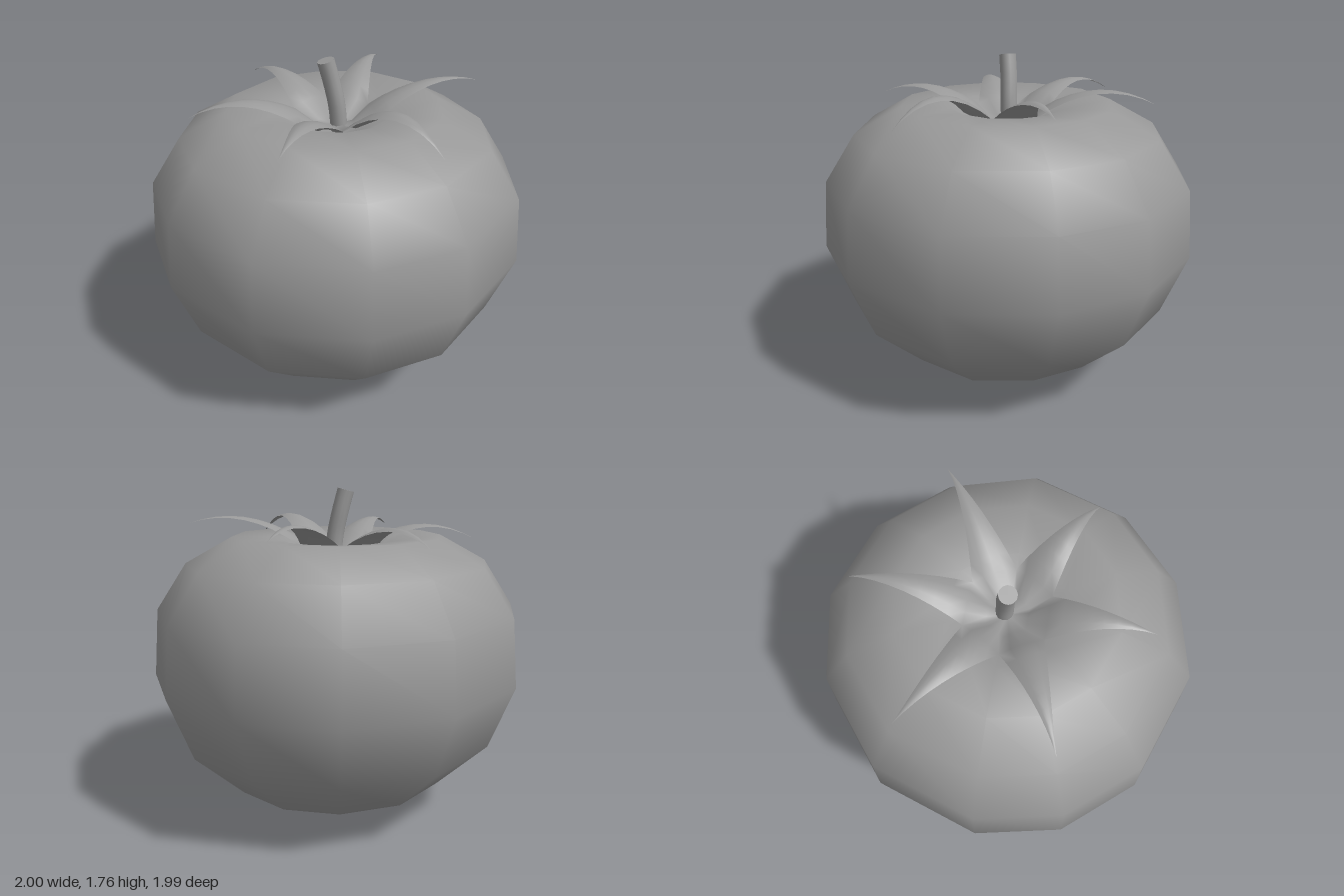
import * as THREE from 'three';
import { mergeVertices } from 'three/addons/utils/BufferGeometryUtils.js';

const grey = (side = THREE.FrontSide) => new THREE.MeshStandardMaterial({ color: 0x999999, side });

// Weld shared corners so the shading runs smoothly over them
function smooth(geometry) {
  geometry.deleteAttribute('normal');
  geometry.deleteAttribute('uv');
  const welded = mergeVertices(geometry, 1e-3);
  welded.computeVertexNormals();
  return welded;
}

// Fruit: a lathe whose twelve sides follow a slightly uneven outline
function makeFruit() {
  const profile = [
    [0, 0], [0.19, 0.015], [0.36, 0.065], [0.6, 0.17], [0.87, 0.43], [1, 0.77], [0.97, 1.13],
    [0.81, 1.375], [0.56, 1.513], [0.3, 1.49], [0.12, 1.39], [0, 1.37],
  ].map(([r, y]) => new THREE.Vector2(r, y));
  const outline = [
    [-0.01, 0.995], [0.47, 0.885], [0.885, 0.495], [1, -0.02], [0.89, -0.49], [0.55, -0.855],
    [0.085, -0.995], [-0.45, -0.885], [-0.87, -0.485], [-1, -0.05], [-0.91, 0.41], [-0.54, 0.84],
  ];
  const geometry = new THREE.LatheGeometry(profile, outline.length);
  const pos = geometry.attributes.position;
  for (let i = 0; i < pos.count; i++) {
    const [x, z] = outline[Math.floor(i / profile.length) % outline.length];
    const r = profile[i % profile.length].x;
    pos.setX(i, x * r);
    pos.setZ(i, z * r);
  }
  return new THREE.Mesh(smooth(geometry), grey());
}

// Calyx: six arched sepals that share a sunken hub
function makeCalyx() {
  const hub = [[0, 1.41], [0.1, 1.42], [0.2, 1.5]];
  const hubRadius = 0.2, hubWidth = hubRadius * Math.tan(Math.PI / 6);
  // tip x, tip z, height at mid length, height at tip
  const sepals = [
    [0.785, -0.05, 1.615, 1.585], [0.39, 0.64, 1.605, 1.47], [-0.37, 0.62, 1.58, 1.52],
    [-0.755, -0.03, 1.57, 1.485], [-0.37, -0.69, 1.585, 1.49], [0.39, -0.68, 1.605, 1.545],
  ];
  const across = 4, steps = 8;
  const positions = [], indices = [];

  sepals.forEach(([tipX, tipZ, midY, tipY], k) => {
    const start = positions.length / 3;
    const baseAngle = k * Math.PI / 3;
    const length = Math.hypot(tipX, tipZ);
    // smallest turn from the base direction to the tip
    const turn = Math.atan2(
      tipZ * Math.cos(baseAngle) - tipX * Math.sin(baseAngle),
      tipX * Math.cos(baseAngle) + tipZ * Math.sin(baseAngle));
    const rows = hub.map(([r, y]) => ({ r, y, w: r * Math.tan(Math.PI / 6), a: baseAngle }));
    const control = 2 * midY - 0.5 * (hub[2][1] + tipY);
    for (let i = 1; i <= steps; i++) {
      const t = i / steps, s = 1 - t;
      rows.push({
        r: hubRadius + (length - hubRadius) * t,
        y: s * s * hub[2][1] + 2 * s * t * control + t * t * tipY,
        w: hubWidth * Math.pow(s, 1.3),
        a: baseAngle + turn * t,
      });
    }
    rows.forEach(({ r, y, w, a }, i) => {
      for (let j = 0; j <= across; j++) {
        const v = 2 * j / across - 1;
        positions.push(
          Math.cos(a) * r - Math.sin(a) * w * v,
          y - 0.3 * w * v * v,
          Math.sin(a) * r + Math.cos(a) * w * v);
        if (i === 0 || j === 0) continue;
        const d = start + i * (across + 1) + j, c = d - 1;
        const b = d - across - 1, e = b - 1;
        indices.push(e, b, c, b, d, c);
      }
    });
  });

  const geometry = new THREE.BufferGeometry();
  geometry.setAttribute('position', new THREE.Float32BufferAttribute(positions, 3));
  geometry.setIndex(indices);
  return new THREE.Mesh(smooth(geometry), grey(THREE.DoubleSide));
}

// Stem: a short leaning tube with a flat cut end
function makeStem() {
  const stem = new THREE.Group();
  const path = new THREE.CatmullRomCurve3([
    new THREE.Vector3(0.025, 1.37, -0.01), new THREE.Vector3(0.01, 1.52, -0.01),
    new THREE.Vector3(-0.015, 1.64, -0.015), new THREE.Vector3(-0.045, 1.752, -0.015),
  ]);
  const stalk = new THREE.Mesh(new THREE.TubeGeometry(path, 8, 0.045, 12), grey());
  stalk.name = 'stalk';
  const cut = new THREE.Mesh(new THREE.CircleGeometry(0.045, 12), grey());
  cut.name = 'stemCut';
  cut.position.copy(path.getPoint(1));
  cut.quaternion.setFromUnitVectors(new THREE.Vector3(0, 0, 1), path.getTangent(1));
  stem.add(stalk, cut);
  return stem;
}

export function createModel() {
  const model = new THREE.Group();
  model.name = 'tomato';
  const parts = { fruit: makeFruit(), calyx: makeCalyx(), stem: makeStem() };
  for (const [name, part] of Object.entries(parts)) {
    part.name = name;
    model.add(part);
  }
  return model;
}
